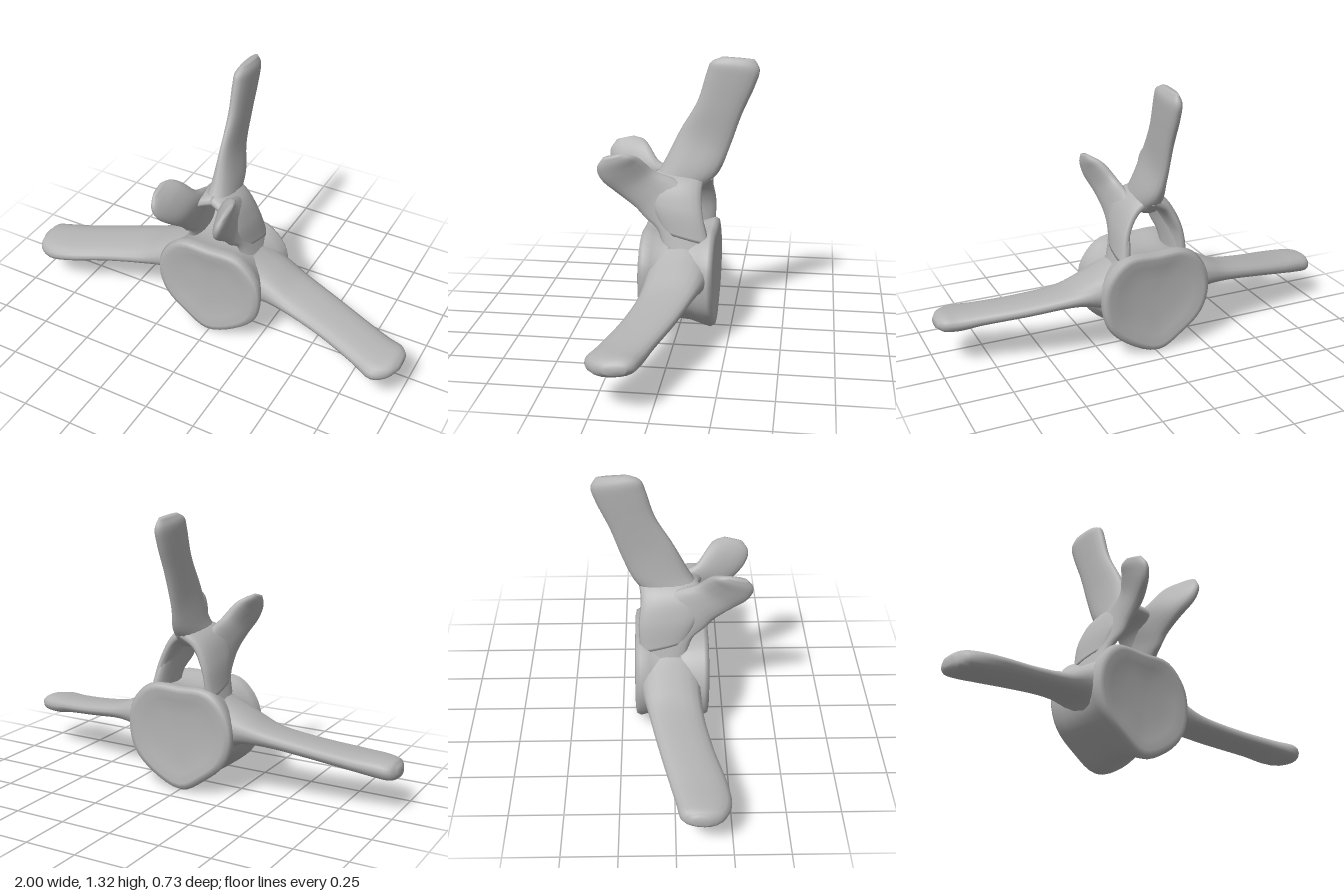
import * as THREE from 'three';

const bone = new THREE.MeshStandardMaterial({ color: 0xb4b4b4 });
bone.name = 'bone grey';

// Closed skin over rings of points, capped at both ends and wound outward
function skin(rings, name) {
  const n = rings[0].length, pos = [], idx = [];
  rings.forEach(r => r.forEach(p => pos.push(p.x, p.y, p.z)));
  for (let i = 0; i < rings.length - 1; i++) {
    for (let j = 0; j < n; j++) {
      const a = i * n + j, b = i * n + (j + 1) % n;
      idx.push(a, b, a + n, b, b + n, a + n);
    }
  }
  [0, rings.length - 1].forEach((r, end) => {
    const c = new THREE.Vector3(), k = pos.length / 3;
    rings[r].forEach(p => c.addScaledVector(p, 1 / n));
    pos.push(c.x, c.y, c.z);
    for (let j = 0; j < n; j++) {
      const a = r * n + j, b = r * n + (j + 1) % n;
      if (end) idx.push(a, b, k); else idx.push(b, a, k);
    }
  });
  // Signed volume tells whether the winding must be flipped
  let volume = 0;
  const v = i => new THREE.Vector3().fromArray(pos, i * 3);
  for (let i = 0; i < idx.length; i += 3) volume += v(idx[i]).dot(v(idx[i + 1]).cross(v(idx[i + 2])));
  if (volume < 0) idx.reverse();
  const g = new THREE.BufferGeometry();
  g.setAttribute('position', new THREE.Float32BufferAttribute(pos, 3));
  g.setIndex(idx);
  g.computeVertexNormals();
  const mesh = new THREE.Mesh(g, bone);
  mesh.name = name;
  return mesh;
}

// Flattened limb: each row holds two edge points and a half thickness
function limb(name, rows, side = 1, steps = 28, n = 18) {
  const curve = k => new THREE.CatmullRomCurve3(rows.map(r => new THREE.Vector3(r[k] * side, r[k + 1], r[k + 2])));
  const A = curve(0), B = curve(3);
  const H = new THREE.CatmullRomCurve3(rows.map((r, i) => new THREE.Vector3(i, r[6], 0)));
  const mid = t => A.getPoint(t).add(B.getPoint(t)).multiplyScalar(0.5);
  const round = c => Math.sign(c) * Math.pow(Math.abs(c), 0.85);
  const rings = [];
  for (let i = 0; i <= steps; i++) {
    const t = i / steps, c = mid(t);
    const u = B.getPoint(t).sub(A.getPoint(t)).multiplyScalar(0.5);
    const along = mid(Math.min(1, t + 0.02)).sub(mid(Math.max(0, t - 0.02)));
    const w = u.clone().cross(along).normalize().multiplyScalar(H.getPoint(t).y);
    rings.push(Array.from({ length: n }, (_, j) => {
      const q = j / n * Math.PI * 2;
      return c.clone().addScaledVector(u, round(Math.cos(q))).addScaledVector(w, round(Math.sin(q)));
    }));
  }
  return skin(rings, name);
}

export function createModel() {
  const model = new THREE.Group();
  model.name = 'vertebra';

  // Vertebral body: heart-shaped outline, narrow waist, dished ends
  const outline = [[-0.16, 0.51], [0, 0.515], [0.16, 0.51], [0.26, 0.41], [0.28, 0.3], [0.25, 0.17], [0.15, 0.07],
    [-0.01, 0.005], [-0.13, 0.07], [-0.24, 0.17], [-0.28, 0.3], [-0.25, 0.42]];
  const loop = new THREE.CatmullRomCurve3(outline.map(p => new THREE.Vector3(p[0], p[1], 0)), true).getPoints(48).slice(0, 48);
  const profile = [[-0.16, 0.4], [-0.168, 0.7], [-0.18, 0.87], [-0.175, 0.96], [-0.155, 1], [-0.11, 0.95], [-0.06, 0.89],
    [0, 0.87], [0.06, 0.89], [0.11, 0.95], [0.145, 1], [0.165, 0.96], [0.17, 0.87], [0.16, 0.7], [0.152, 0.4]];
  model.add(skin(profile.map(([z, s]) =>
    loop.map(p => new THREE.Vector3(p.x * s, 0.28 + (p.y - 0.28) * s, z))), 'vertebralBody'));

  // Transverse wings, flaring into the body, slightly different on each side
  const root = [[0.16, 0.34, -0.165, 0.16, 0.31, 0.14, 0.15], [0.27, 0.335, -0.15, 0.27, 0.31, 0.13, 0.085]];
  model.add(limb('leftTransverseWing', [...root,
    [0.4, 0.315, -0.115, 0.4, 0.285, 0.14, 0.045],
    [0.6, 0.28, -0.06, 0.6, 0.255, 0.18, 0.038],
    [0.8, 0.25, 0.005, 0.8, 0.225, 0.245, 0.04],
    [0.9, 0.235, 0.035, 0.9, 0.21, 0.28, 0.048],
    [0.965, 0.235, 0.055, 0.965, 0.215, 0.24, 0.042],
    [0.998, 0.23, 0.09, 0.998, 0.22, 0.18, 0.018]]));
  model.add(limb('rightTransverseWing', [...root,
    [0.4, 0.31, -0.12, 0.4, 0.275, 0.14, 0.05],
    [0.6, 0.27, -0.075, 0.6, 0.24, 0.18, 0.042],
    [0.8, 0.23, -0.025, 0.8, 0.205, 0.235, 0.045],
    [0.9, 0.215, 0, 0.9, 0.19, 0.24, 0.05],
    [0.97, 0.205, 0.02, 0.97, 0.19, 0.205, 0.045],
    [0.998, 0.205, 0.07, 0.998, 0.195, 0.14, 0.02]], -1));

  // Neural arch: pedicles rising into the forward horns, and laminae closing the roof
  for (const [side, word, back] of [[1, 'left', 0.03], [-1, 'right', -0.01]]) {
    model.add(limb(word + 'ArticularHorn', [
      [0.15, 0.42, -0.15, 0.15, 0.42, 0.06, 0.045],
      [0.135, 0.53, -0.14, 0.13, 0.53, 0.09, 0.03],
      [0.115, 0.65, -0.09, 0.115, 0.58, 0.15, 0.026],
      [0.075, 0.755, 0, 0.115, 0.63, 0.195, 0.03],
      [0.085, 0.8, 0.11, 0.125, 0.7, 0.28, 0.034],
      [0.13, 0.865, 0.165, 0.15, 0.77, 0.35, 0.032],
      [0.165, 0.89, 0.2, 0.165, 0.83, 0.365, 0.024],
      [0.18, 0.9, 0.25, 0.175, 0.88, 0.335, 0.01]], side));
    model.add(limb(word + 'Lamina', [
      [0.15, 0.47, -0.155, 0.135, 0.52, 0.06, 0.032],
      [0.125, 0.61, -0.15 + back, 0.115, 0.65, 0.12, 0.028],
      [0.07, 0.71, -0.14 + back, 0.07, 0.735, 0.14, 0.034],
      [-0.01, 0.765, -0.15 + back, -0.01, 0.765, 0.12, 0.04]], side));
  }

  // Upper spine, leaning backward from a flared base
  model.add(limb('upperSpine', [
    [0, 0.755, 0.12, 0, 0.69, -0.09, 0.07],
    [0, 0.82, 0.08, 0, 0.78, -0.18, 0.055],
    [-0.01, 0.98, 0, -0.01, 0.9, -0.23, 0.031],
    [-0.01, 1.12, -0.08, -0.01, 1.06, -0.285, 0.031],
    [-0.01, 1.25, -0.12, -0.01, 1.2, -0.345, 0.034],
    [-0.01, 1.3, -0.14, -0.01, 1.27, -0.363, 0.032],
    [-0.01, 1.325, -0.19, -0.01, 1.315, -0.34, 0.014]]));
  return model;
}
